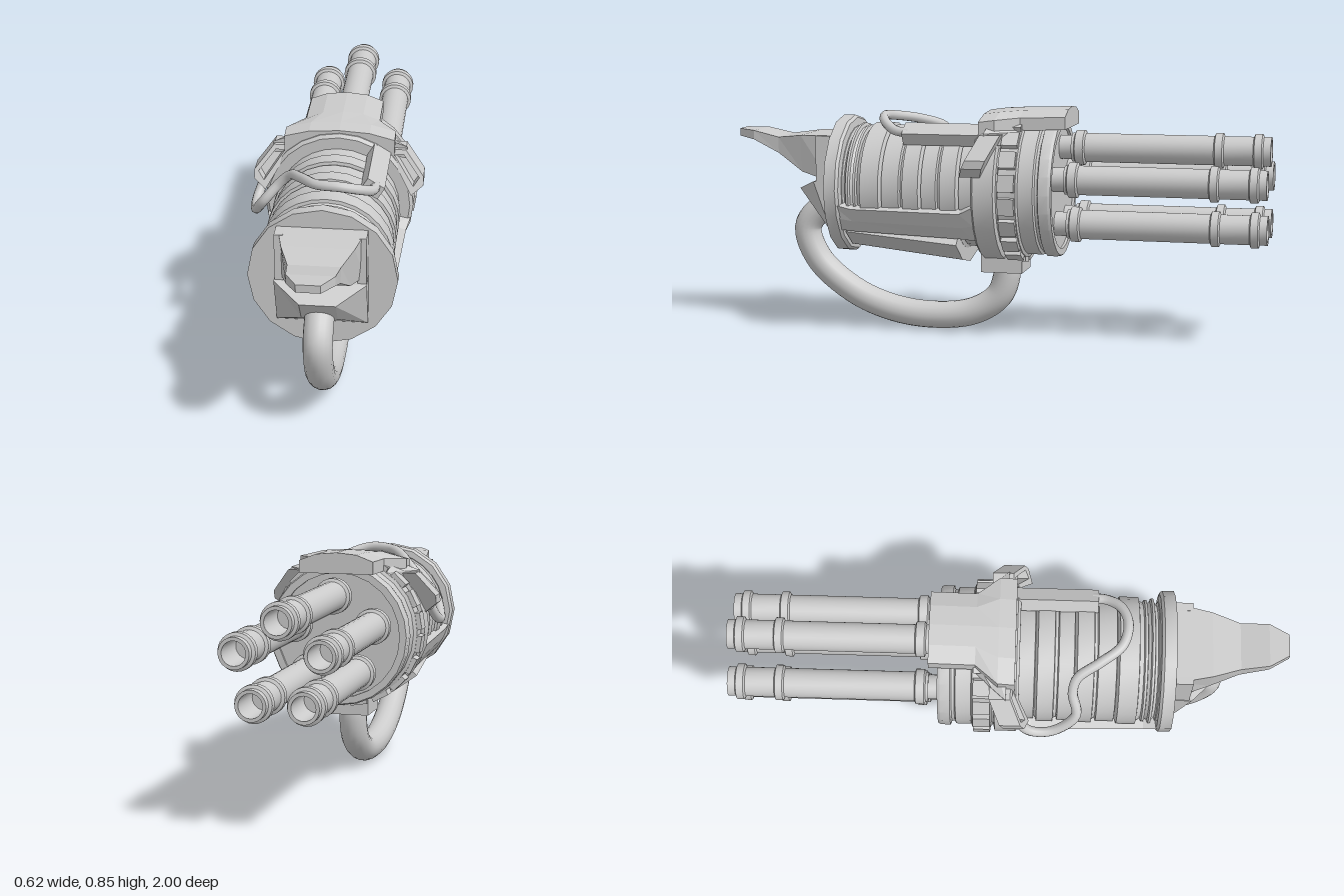
import * as THREE from 'three';
import { toCreasedNormals } from 'three/addons/utils/BufferGeometryUtils.js';

const CY = 0.55; // height of the main axis
const mat = new THREE.MeshStandardMaterial({ color: 0xcccccc });
const flat = new THREE.MeshStandardMaterial({ color: 0xcccccc, flatShading: true });

export function createModel() {
  const root = new THREE.Group();

  function add(name, geo, material = mat, parent = root) {
    const m = new THREE.Mesh(geo, material);
    m.name = name;
    parent.add(m);
    return m;
  }

  // Turned part around the z axis; profile is [radius, z] with z rising on the outside
  function turned(profile, sides) {
    const g = new THREE.LatheGeometry(profile.map(p => new THREE.Vector2(...p)), sides);
    return toCreasedNormals(g.rotateX(Math.PI / 2), 0.5);
  }

  // Skin over sections ordered along +z, each counterclockwise seen from +z, with caps
  function loft(sections) {
    const pos = [], n = sections[0].length;
    const tri = (a, b, c) => pos.push(...a, ...b, ...c);
    for (let s = 0; s < sections.length - 1; s++) {
      const A = sections[s], B = sections[s + 1];
      for (let i = 0; i < n; i++) {
        const j = (i + 1) % n;
        tri(A[i], A[j], B[j]);
        tri(A[i], B[j], B[i]);
      }
    }
    const cap = (S, flip) => {
      const pts = S.map(p => new THREE.Vector2(p[0], p[1]));
      for (const [a, b, c] of THREE.ShapeUtils.triangulateShape(pts, [])) {
        if (flip) tri(S[c], S[b], S[a]); else tri(S[a], S[b], S[c]);
      }
    };
    cap(sections[0], true);
    cap(sections[sections.length - 1], false);
    const g = new THREE.BufferGeometry();
    g.setAttribute('position', new THREE.Float32BufferAttribute(pos, 3));
    g.computeVertexNormals();
    return g;
  }

  // Section of a ring between two angles in degrees
  function arc(r0, r1, a0, a1, n, z) {
    const at = (r, i) => {
      const t = THREE.MathUtils.degToRad(a0 + (a1 - a0) * i / n);
      return [r * Math.cos(t), CY + r * Math.sin(t), z];
    };
    const out = [];
    for (let i = 0; i <= n; i++) out.push(at(r1, i));
    for (let i = n; i >= 0; i--) out.push(at(r0, i));
    return out;
  }

  const tube = (pts, r, steps, sides) => new THREE.TubeGeometry(
    new THREE.CatmullRomCurve3(pts.map(p => new THREE.Vector3(...p))), steps, r, sides);

  // Barrel cluster: five hollow barrels with collars
  const collar = (z, w) => [[0.053, z - w], [0.064, z - w + 0.005], [0.064, z + w - 0.005], [0.053, z + w]];
  const barrelGeo = turned([
    [0, -0.85], [0.041, -0.85], [0.041, -1], [0.053, -1],
    ...collar(-0.955, 0.018), ...collar(-0.815, 0.018), ...collar(-0.31, 0.02),
    [0.053, -0.28], [0.044, -0.28], [0.044, -0.22]], 24);
  const barrels = new THREE.Group();
  barrels.name = 'barrels';
  root.add(barrels);
  for (let i = 0; i < 5; i++) {
    const a = Math.PI / 2 + i * Math.PI * 2 / 5;
    add('barrel', barrelGeo, mat, barrels).position.set(0.15 * Math.cos(a), CY + 0.15 * Math.sin(a), 0);
  }

  // Front rotor housing, stepped
  add('rotorHousing', turned([
    [0, -0.235], [0.225, -0.235], [0.225, -0.245], [0.25, -0.245], [0.255, -0.235], [0.255, -0.2],
    [0.24, -0.195], [0.24, -0.185], [0.25, -0.18], [0.25, -0.125], [0.262, -0.12], [0.262, -0.055],
    [0.25, -0.05], [0.25, -0.045], [0.272, -0.04], [0.272, 0.035], [0.26, 0.045], [0.2, 0.045]], 24)).position.y = CY;

  // Blocks around the housing
  const teeth = new THREE.Group();
  teeth.name = 'housingTeeth';
  root.add(teeth);
  const tooth = new THREE.BoxGeometry(0.03, 0.062, 0.06);
  for (let i = 0; i < 20; i++) {
    const a = (i + 0.5) * Math.PI / 10;
    const t = add('tooth', tooth, mat, teeth);
    t.position.set(0.262 * Math.cos(a), CY + 0.262 * Math.sin(a), -0.087);
    t.rotation.z = a;
  }

  // Ribbed main body
  const body = [[0.2, 0.03]];
  for (const [z0, z1, r] of [[0.04, 0.1, 0.222], [0.105, 0.17, 0.23], [0.18, 0.24, 0.224], [0.245, 0.31, 0.23],
    [0.32, 0.39, 0.224], [0.395, 0.47, 0.232], [0.485, 0.5, 0.222], [0.51, 0.525, 0.228], [0.535, 0.545, 0.218]]) {
    body.push([r - 0.012, z0], [r, z0 + 0.004], [r, z1 - 0.002], [r - 0.012, z1]);
  }
  body.push([0.2, 0.56]);
  add('body', turned(body, 28)).position.y = CY - 0.005;

  // Rear plate
  add('rearPlate', turned([[0.2, 0.54], [0.248, 0.545], [0.257, 0.555], [0.257, 0.598], [0, 0.598]], 16))
    .position.y = CY - 0.005;

  // Lower cradle: bottom pan with a rail along each side
  add('bottomPan', loft([arc(0.2, 0.288, 223, 317, 4, 0.11), arc(0.2, 0.242, 223, 317, 4, 0.54)]), flat);
  for (const s of [0, 1]) {
    const rail = (r, up, low, z) => s ? arc(0.2, r, 360 - low, 360 - up, 2, z) : arc(0.2, r, 180 + up, 180 + low, 2, z);
    add(s ? 'leftRail' : 'rightRail', loft([
      rail(0.268, 11, 42, 0.04), rail(0.262, 17, 42, 0.09), rail(0.25, 17, 40, 0.5), rail(0.25, 13, 38, 0.57)]), flat);
  }

  // Top cover: arched plate over the housing
  const cover = (w, base, top, z) => [[-w, base, z], [w, base, z], [w, top - 0.03, z], [w * 0.55, top - 0.007, z],
    [0, top, z], [-w * 0.55, top - 0.007, z], [-w, top - 0.03, z]];
  add('topCover', loft([cover(0.135, 0.775, 0.85, -0.275), cover(0.135, 0.77, 0.845, -0.11),
    cover(0.2, 0.735, 0.84, -0.03), cover(0.2, 0.735, 0.832, 0.03)]), flat);

  // Slanted side brackets with a recessed opening to the front
  const outline = [[0.15, 0.72], [0.195, 0.725], [0.265, 0.61], [0.308, 0.645], [0.308, 0.675], [0.24, 0.76], [0.16, 0.76]];
  const opening = [[0.2, 0.742], [0.232, 0.745], [0.293, 0.67], [0.272, 0.64]];
  for (const s of [1, -1]) {
    const pts = a => a.map(([x, y]) => new THREE.Vector2(s * x, y));
    const shear = (g) => {
      const p = g.attributes.position;
      for (let i = 0; i < p.count; i++) p.setZ(i, p.getZ(i) + (0.75 - p.getY(i)) * 0.45);
      return g;
    };
    const frame = new THREE.Shape(pts(outline));
    frame.holes.push(new THREE.Path(pts(opening)));
    const bracket = new THREE.Group();
    bracket.name = s > 0 ? 'leftBracket' : 'rightBracket';
    root.add(bracket);
    add('bracketFrame', shear(new THREE.ExtrudeGeometry(frame, { depth: 0.04, bevelEnabled: false }).translate(0, 0, -0.02)), flat, bracket);
    add('bracketBack', shear(new THREE.ExtrudeGeometry(new THREE.Shape(pts(outline)), { depth: 0.035, bevelEnabled: false })
      .translate(0, 0, -0.055)), flat, bracket);
    // Gusset from the cover to the bracket
    const gusset = (k, z) => {
      const q = [[0.1, 0.74], [0.13 + 0.11 * k, 0.72], [0.135 + 0.11 * k, 0.765], [0.1, 0.815]];
      return (s > 0 ? q : q.slice().reverse()).map(([x, y]) => [s * x, y, z]);
    };
    add('bracketGusset', loft([gusset(0, -0.12), gusset(0.6, -0.05), gusset(1, 0)]), flat, bracket);
  }

  // Junction box on the top and the thin cable leading from it
  const box = add('junctionBox', new THREE.BoxGeometry(0.07, 0.05, 0.3), flat);
  box.position.set(0.145, 0.75, 0.17);
  box.rotation.z = -0.55;
  add('cable', tube([[-0.275, 0.63, 0.04], [-0.293, 0.58, 0.09], [-0.288, 0.575, 0.17], [-0.25, 0.645, 0.25],
    [-0.19, 0.715, 0.235], [-0.15, 0.755, 0.25], [-0.1, 0.785, 0.33], [-0.04, 0.8, 0.405], [0.04, 0.805, 0.425],
    [0.11, 0.785, 0.4], [0.148, 0.76, 0.35], [0.155, 0.755, 0.3]], 0.018, 70, 10));

  // Tail fin: wide root narrowing to an upturned tip
  const fin = (wTop, wLow, top, low, z) => [[-wLow, low, z], [wLow, low, z], [wTop, top, z], [-wTop, top, z]];
  add('tailFin', loft([fin(0.152, 0.152, 0.735, 0.56, 0.59), fin(0.148, 0.145, 0.735, 0.565, 0.61),
    fin(0.122, 0.108, 0.732, 0.595, 0.73), fin(0.088, 0.085, 0.72, 0.66, 0.83),
    fin(0.08, 0.08, 0.742, 0.708, 0.93), fin(0.04, 0.04, 0.745, 0.717, 1)]), flat);
  // Side shoulders of the fin root
  for (const s of [1, -1]) {
    const m = add('finShoulder', new THREE.BoxGeometry(0.03, 0.17, 0.07), flat);
    m.position.set(s * 0.14, 0.65, 0.625);
  }

  // Hose socket on the rear plate, tapered and tilted
  add('hoseSocket', loft([
    [[-0.157, 0.382, 0.59], [0.157, 0.382, 0.59], [0.157, 0.565, 0.59], [-0.157, 0.565, 0.59]],
    [[-0.157, 0.382, 0.605], [0.157, 0.382, 0.605], [0.157, 0.565, 0.67], [-0.157, 0.565, 0.67]],
    [[-0.062, 0.44, 0.69], [0.062, 0.44, 0.69], [0.062, 0.527, 0.755], [-0.062, 0.527, 0.755]]]), flat);

  // Thick feed hose looping under the body
  add('feedHose', tube([[0, 0.46, 0.64], [0, 0.437, 0.7], [0, 0.37, 0.748], [0, 0.25, 0.705], [0, 0.135, 0.57],
    [0, 0.073, 0.42], [0, 0.052, 0.26], [0, 0.072, 0.1], [0, 0.135, 0], [0, 0.21, -0.03], [0, 0.28, -0.03]], 0.051, 72, 18));

  // Hose mount below the housing
  add('hoseMount', new THREE.BoxGeometry(0.152, 0.08, 0.155), flat).position.set(0, 0.275, -0.027);

  return root;
}
